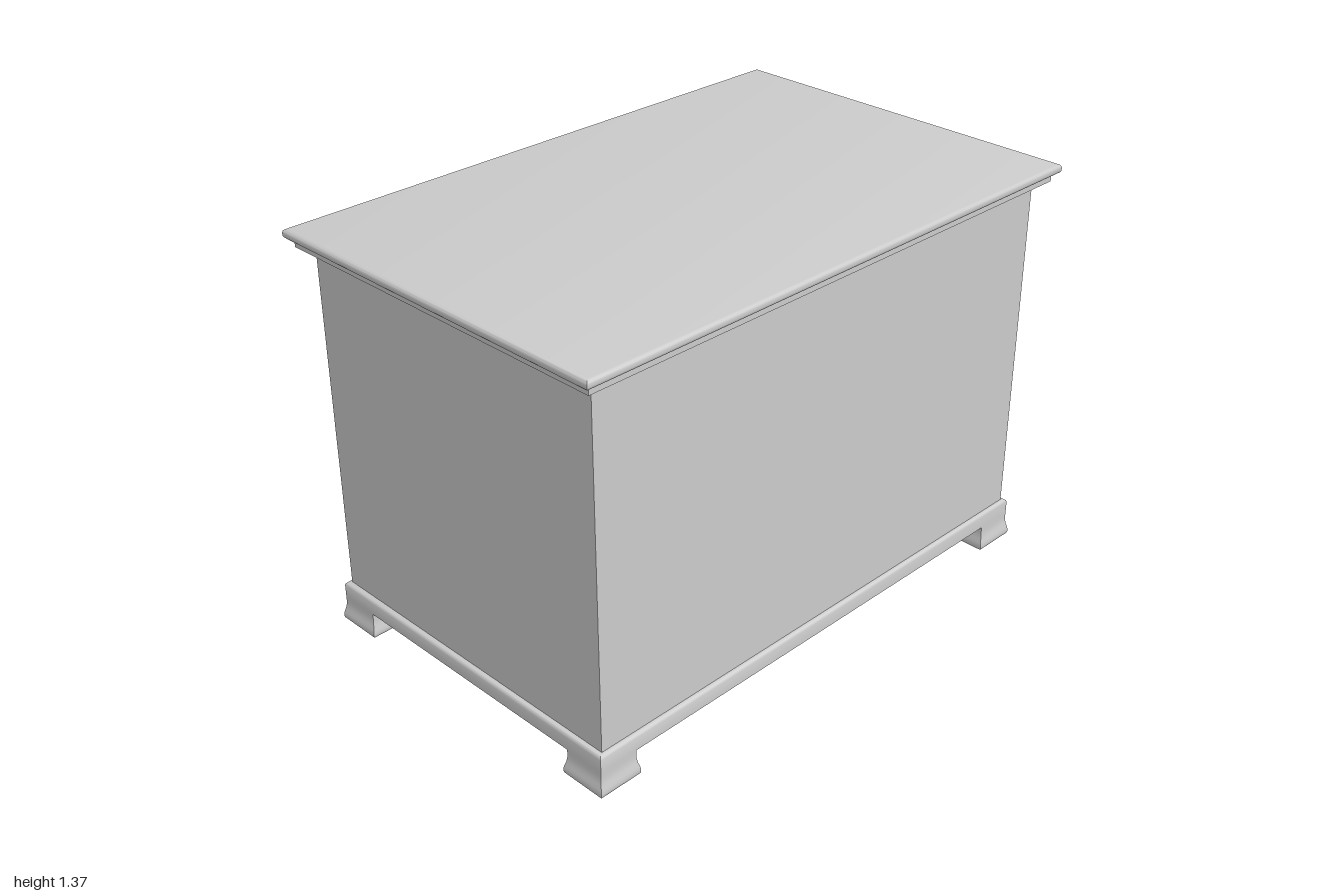
import * as THREE from 'three';
import { toCreasedNormals } from 'three/addons/utils/BufferGeometryUtils.js';

const material = new THREE.MeshStandardMaterial({ color: 0xcccccc });

// Capped stack of rectangles; profile rows are [height, outward offset], bottom to top
function moulded(x0, x1, z0, z1, profile) {
  const pos = [], index = [];
  for (const [y, o] of profile) {
    pos.push(x0 - o, y, z1 + o, x1 + o, y, z1 + o, x1 + o, y, z0 - o, x0 - o, y, z0 - o);
  }
  const top = (profile.length - 1) * 4;
  for (let r = 0; r < top; r += 4) {
    for (let i = 0; i < 4; i++) {
      const a = r + i, b = r + (i + 1) % 4;
      index.push(a, b, b + 4, a, b + 4, a + 4);
    }
  }
  index.push(0, 2, 1, 0, 3, 2, top, top + 1, top + 2, top, top + 2, top + 3);
  const g = new THREE.BufferGeometry();
  g.setAttribute('position', new THREE.Float32BufferAttribute(pos, 3));
  g.setIndex(index);
  return toCreasedNormals(g, 0.75);
}

function rect(PathType, x0, x1, y0, y1) {
  return new PathType([[x0, y0], [x1, y0], [x1, y1], [x0, y1]].map(p => new THREE.Vector2(...p)));
}

export function createModel() {
  const group = new THREE.Group();
  const add = (name, geometry) => {
    const mesh = new THREE.Mesh(geometry, material);
    mesh.name = name;
    group.add(mesh);
    return mesh;
  };

  // Carcass: drawer and cupboard bays open at the back
  const W = 0.934, bottom = 0.12, top = 1.345, backZ = -0.588, panelZ = 0.51;
  const section = rect(THREE.Shape, -W, W, bottom, top);
  for (const s of [-1, 1]) {
    const bay = (inner, y0, y1) =>
      rect(THREE.Path, Math.min(s * inner, s * 0.85), Math.max(s * inner, s * 0.85), y0, y1);
    section.holes.push(bay(0.02, 0.2, 1.035), bay(0.07, 1.112, 1.26));
  }
  const carcass = new THREE.ExtrudeGeometry(section, { depth: panelZ - backZ, bevelEnabled: false });
  add('carcass', carcass.translate(0, 0, backZ));

  // Closed front
  const front = new THREE.BoxGeometry(2 * W, top - bottom, 0.59 - panelZ);
  add('frontPanel', front.translate(0, (top + bottom) / 2, (0.59 + panelZ) / 2));

  // Worktop with softened edge, and the moulding below it
  const edge = [];
  const r = 0.012;
  for (let i = 0; i <= 4; i++) {
    const a = i / 4 * Math.PI / 2;
    edge.push([1.341 + r * (1 - Math.cos(a)), r * (Math.sin(a) - 1)]);
  }
  for (let i = 0; i <= 4; i++) {
    const a = i / 4 * Math.PI / 2;
    edge.push([1.372 - r * (1 - Math.sin(a)), r * (Math.cos(a) - 1)]);
  }
  add('worktop', moulded(-1, 1, -0.65, 0.65, edge));
  add('topMoulding', moulded(-0.977, 0.977, -0.627, 0.629, [[1.315, 0], [1.335, 0]]));

  // Plinth with a rounded upper edge
  add('plinth', moulded(-0.952, 0.952, -0.604, 0.604,
    [[0.086, 0], [0.129, 0], [0.135, -0.002], [0.139, -0.006], [0.141, -0.012]]));

  // Flared feet
  const flare = [[0, 0.005], [0.003, 0.008], [0.008, 0.009], [0.018, 0.009], [0.028, 0.007],
    [0.042, 0.003], [0.056, 0.0005], [0.07, 0], [0.086, 0]];
  for (const sx of [-1, 1]) {
    for (const sz of [-1, 1]) {
      const foot = add('foot', moulded(-0.0685, 0.0685, -0.071, 0.071, flare));
      foot.position.set(sx * 0.8835, 0, sz * 0.533);
    }
  }
  return group;
}
